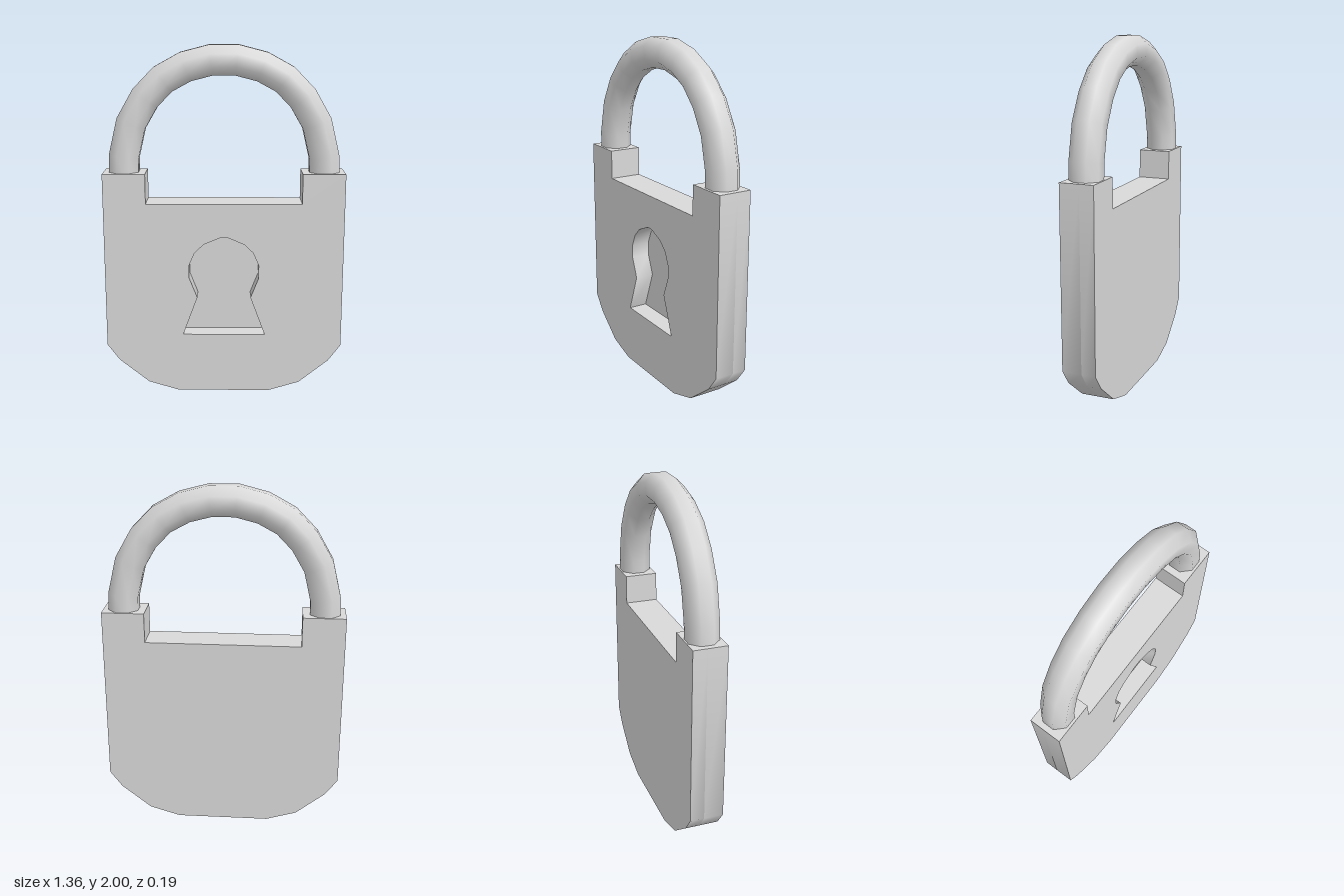
import * as THREE from 'three';
import { toCreasedNormals } from 'three/addons/utils/BufferGeometryUtils.js';

const HALF_DEPTH = 0.095, POCKET_FLOOR = -0.015;

// Mirrors a right-hand profile in x to give the full closed or open outline
const mirrored = (half) => [
  ...half.map(([x, y]) => new THREE.Vector2(x, y)),
  ...half.filter(([x]) => x > 0).reverse().map(([x, y]) => new THREE.Vector2(-x, y)),
];

// Extrudes a shape between two z planes, rounding only the shallow corners
function slab(shape, z0, z1) {
  const geo = new THREE.ExtrudeGeometry(shape, { depth: z1 - z0, bevelEnabled: false });
  geo.translate(0, 0, z0);
  return toCreasedNormals(geo, 0.75);
}

// Smooth tube swept along a path in the xy plane, with flats facing outward
function sweptTube(path, radius, sides) {
  const pos = [], index = [];
  path.forEach((p, i) => {
    const a = path[Math.max(i - 1, 0)], b = path[Math.min(i + 1, path.length - 1)];
    const dirIn = p.clone().sub(a).normalize(), dirOut = b.clone().sub(p).normalize();
    const t = dirIn.add(dirOut).normalize();
    for (let j = 0; j < sides; j++) {
      const ang = ((j + 0.5) / sides) * Math.PI * 2;
      const r = Math.cos(ang) * radius;
      pos.push(p.x + t.y * r, p.y - t.x * r, Math.sin(ang) * radius);
      if (i === 0) continue;
      const k = (j + 1) % sides, lo = (i - 1) * sides, hi = i * sides;
      index.push(lo + j, hi + j, hi + k, lo + j, hi + k, lo + k);
    }
  });
  const geo = new THREE.BufferGeometry();
  geo.setAttribute('position', new THREE.Float32BufferAttribute(pos, 3));
  geo.setIndex(index);
  geo.computeVertexNormals();
  return geo;
}

export function createModel() {
  const group = new THREE.Group();
  group.name = 'padlock';
  const steel = new THREE.MeshStandardMaterial({ color: 0xd9d9d9 });
  steel.name = 'light grey steel';

  const add = (name, geometry) => {
    const mesh = new THREE.Mesh(geometry, steel);
    mesh.name = name;
    group.add(mesh);
  };

  // Body outline: rounded bottom, two shoulders with a notch between them
  const outline = mirrored([
    [0.265, 0], [0.44, 0.053], [0.61, 0.19], [0.68, 0.285],
    [0.68, 1.296], [0.44, 1.296], [0.44, 1.126],
  ]);
  // Keyhole: round head over a flared foot
  const keyhole = mirrored([
    [0.236, 0.35], [0.153, 0.575], [0.199, 0.692], [0.199, 0.768],
    [0.167, 0.842], [0.115, 0.892], [0.02, 0.932],
  ]);

  // Solid back plate, and a front plate cut through by the keyhole
  add('bodyBack', slab(new THREE.Shape(outline), -HALF_DEPTH, POCKET_FLOOR));
  const front = new THREE.Shape(outline);
  front.holes.push(new THREE.Path(keyhole));
  add('bodyFront', slab(front, POCKET_FLOOR, HALF_DEPTH));

  // Shackle: arch with its feet sunk into the shoulders
  const arch = mirrored([
    [0.567, 1.22], [0.562, 1.385], [0.518, 1.57], [0.437, 1.71],
    [0.337, 1.813], [0.212, 1.881], [0.072, 1.917],
  ]);
  const shackle = sweptTube(arch, 0.0905, 8);
  shackle.translate(0, 0, -0.003);
  add('shackle', shackle);

  return group;
}
